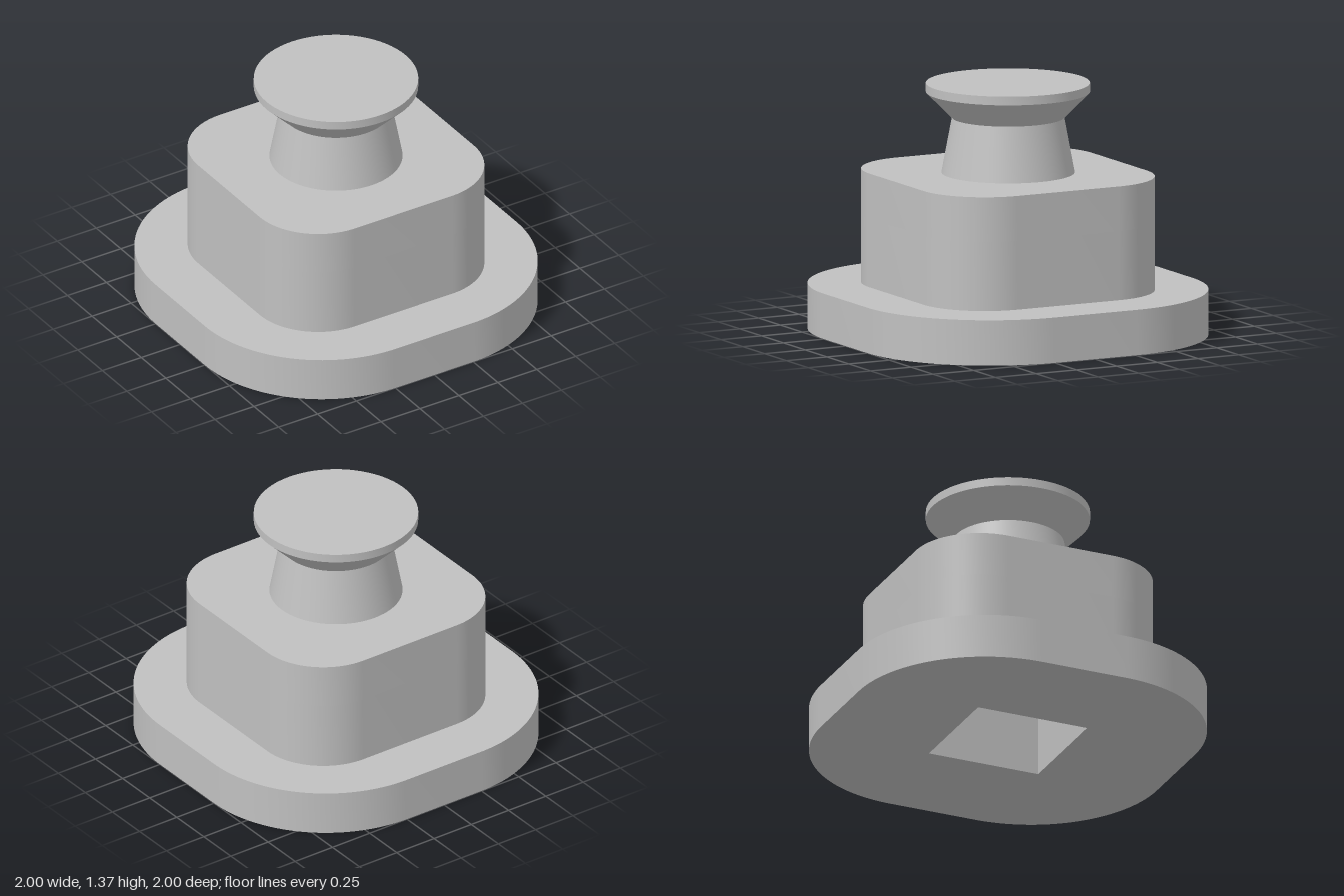
import * as THREE from 'three';
import { toCreasedNormals } from 'three/addons/utils/BufferGeometryUtils.js';

const grey = new THREE.MeshStandardMaterial({ color: 0xc0c0c0 });
grey.name = 'plain grey';

// Square outline with rounded corners, h = half width, r = corner radius
function roundedSquare(h, r) {
  const f = h - r;
  const s = new THREE.Shape();
  s.moveTo(-f, -h);
  s.lineTo(f, -h);
  s.absarc(f, -f, r, -Math.PI / 2, 0);
  s.lineTo(h, f);
  s.absarc(f, f, r, 0, Math.PI / 2);
  s.lineTo(-f, h);
  s.absarc(-f, f, r, Math.PI / 2, Math.PI);
  s.lineTo(-h, -f);
  s.absarc(-f, -f, r, Math.PI, Math.PI * 1.5);
  return s;
}

// Upright slab between two heights, optionally pierced by a square socket
function slab(name, h, r, y0, y1, socket) {
  const shape = roundedSquare(h, r);
  if (socket) {
    const k = socket;
    shape.holes.push(new THREE.Path([[-k, -k], [-k, k], [k, k], [k, -k]].map(([x, y]) => new THREE.Vector2(x, y))));
  }
  const geo = new THREE.ExtrudeGeometry(shape, { depth: y1 - y0, bevelEnabled: false, curveSegments: 24 });
  geo.rotateX(-Math.PI / 2);
  geo.translate(0, y0, 0);
  const mesh = new THREE.Mesh(toCreasedNormals(geo, 0.5), grey);
  mesh.name = name;
  return mesh;
}

export function createModel() {
  const group = new THREE.Group();
  group.name = 'knob';

  const socket = 0.325;      // half width of the square socket
  const socketTop = 0.63;
  group.add(slab('basePlate', 1, 0.75, 0, 0.25, socket));
  group.add(slab('bodyLower', 0.687, 0.375, 0.25, socketTop, socket));
  group.add(slab('bodyUpper', 0.687, 0.375, socketTop, 0.877, 0));

  // Tapered neck flaring out to a flat round head
  const profile = [[0.362, 0.877], [0.305, 1.18], [0.447, 1.322], [0.447, 1.37], [0, 1.37]];
  const lathe = new THREE.LatheGeometry(profile.map(([x, y]) => new THREE.Vector2(x, y)), 72);
  const head = new THREE.Mesh(toCreasedNormals(lathe, 0.5), grey);
  head.name = 'neckAndHead';
  group.add(head);

  return group;
}
